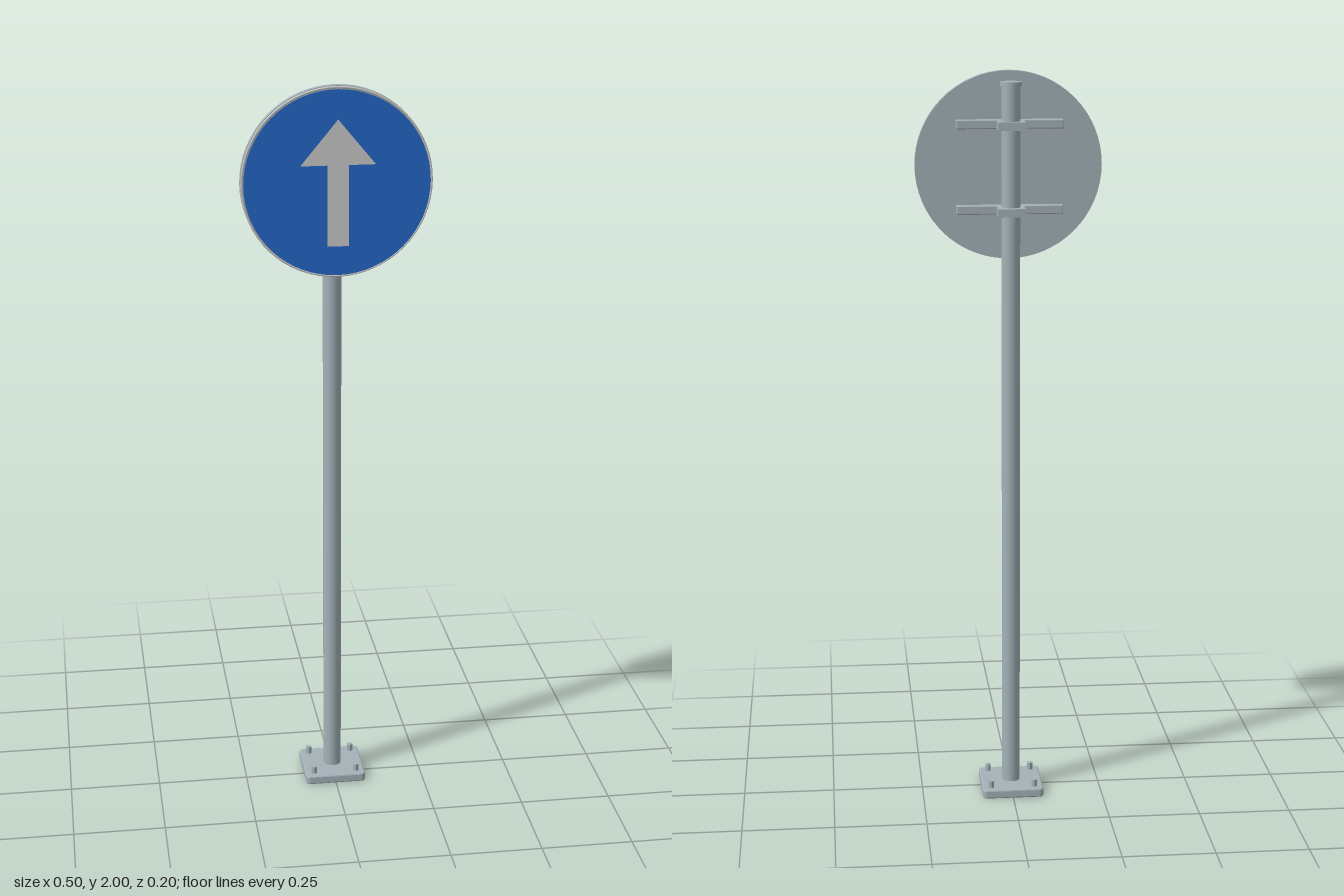
import * as THREE from 'three';
import { RoundedBoxGeometry } from 'three/addons/geometries/RoundedBoxGeometry.js';

const POLE_Z = -0.016;
const SIGN_Y = 1.75;

export function createModel() {
  const model = new THREE.Group();
  const steel = new THREE.MeshStandardMaterial({ color: 0xa4b2b8 });
  const bolts = new THREE.MeshStandardMaterial({ color: 0xa4b2b8, flatShading: true });
  const grey = new THREE.MeshStandardMaterial({ color: 0xcccccc, side: THREE.DoubleSide });
  const blue = new THREE.MeshStandardMaterial({ color: 0x2468c8, side: THREE.DoubleSide });

  const add = (name, geometry, material, x, y, z) => {
    const mesh = new THREE.Mesh(geometry, material);
    mesh.name = name;
    mesh.position.set(x, y, z);
    model.add(mesh);
    return mesh;
  };

  // Base plate: rounded square with a small bevel
  const h = 0.081, r = 0.008;
  const plate = new THREE.Shape();
  plate.absarc(h - r, h - r, r, 0, Math.PI / 2);
  plate.absarc(r - h, h - r, r, Math.PI / 2, Math.PI);
  plate.absarc(r - h, r - h, r, Math.PI, Math.PI * 1.5);
  plate.absarc(h - r, r - h, r, Math.PI * 1.5, Math.PI * 2);
  const plateGeometry = new THREE.ExtrudeGeometry(plate, {
    depth: 0.017, bevelEnabled: true, bevelSize: 0.004, bevelThickness: 0.004, bevelSegments: 2, curveSegments: 6,
  });
  plateGeometry.rotateX(-Math.PI / 2);
  add('basePlate', plateGeometry, steel, 0, 0.004, POLE_Z);

  // Hexagonal anchor bolts
  for (const sx of [-1, 1]) {
    for (const sz of [-1, 1]) {
      add('anchorBolt', new THREE.CylinderGeometry(0.0085, 0.0085, 0.024, 6), bolts,
        sx * 0.06, 0.033, POLE_Z + sz * 0.06);
    }
  }

  // Pole and its slightly wider cap
  add('pole', new THREE.CylinderGeometry(0.025, 0.025, 1.95, 32), steel, 0, 0.995, POLE_Z);
  add('poleCap', new THREE.CylinderGeometry(0.029, 0.029, 0.012, 32), steel, 0, 1.97, POLE_Z);

  // Two clamps, each with a horizontal bracket bar
  for (const y of [1.637, 1.863]) {
    add('clamp', new THREE.BoxGeometry(0.073, 0.022, 0.078), steel, 0, y, -0.019);
    add('bracketBar', new RoundedBoxGeometry(0.284, 0.024, 0.024, 2, 0.003), steel, 0, y, 0.018);
  }

  // Sign: backing disc, rim, coloured face
  const backing = new THREE.CylinderGeometry(0.25, 0.25, 0.018, 64);
  backing.rotateX(Math.PI / 2);
  add('backingDisc', backing, steel, 0, SIGN_Y, 0.061);
  add('rim', new THREE.TorusGeometry(0.247, 0.003, 8, 64), grey, 0, SIGN_Y, 0.078);
  add('signFace', new THREE.CircleGeometry(0.243, 64), blue, 0, SIGN_Y, 0.087);

  // Upward arrow
  const arrow = new THREE.Shape([
    [-0.028, -0.163], [0.028, -0.163], [0.028, 0.05], [0.098, 0.05],
    [0, 0.168], [-0.098, 0.05], [-0.028, 0.05],
  ].map(([x, y]) => new THREE.Vector2(x, y)));
  add('arrow', new THREE.ShapeGeometry(arrow), grey, 0, SIGN_Y, 0.098);

  return model;
}
